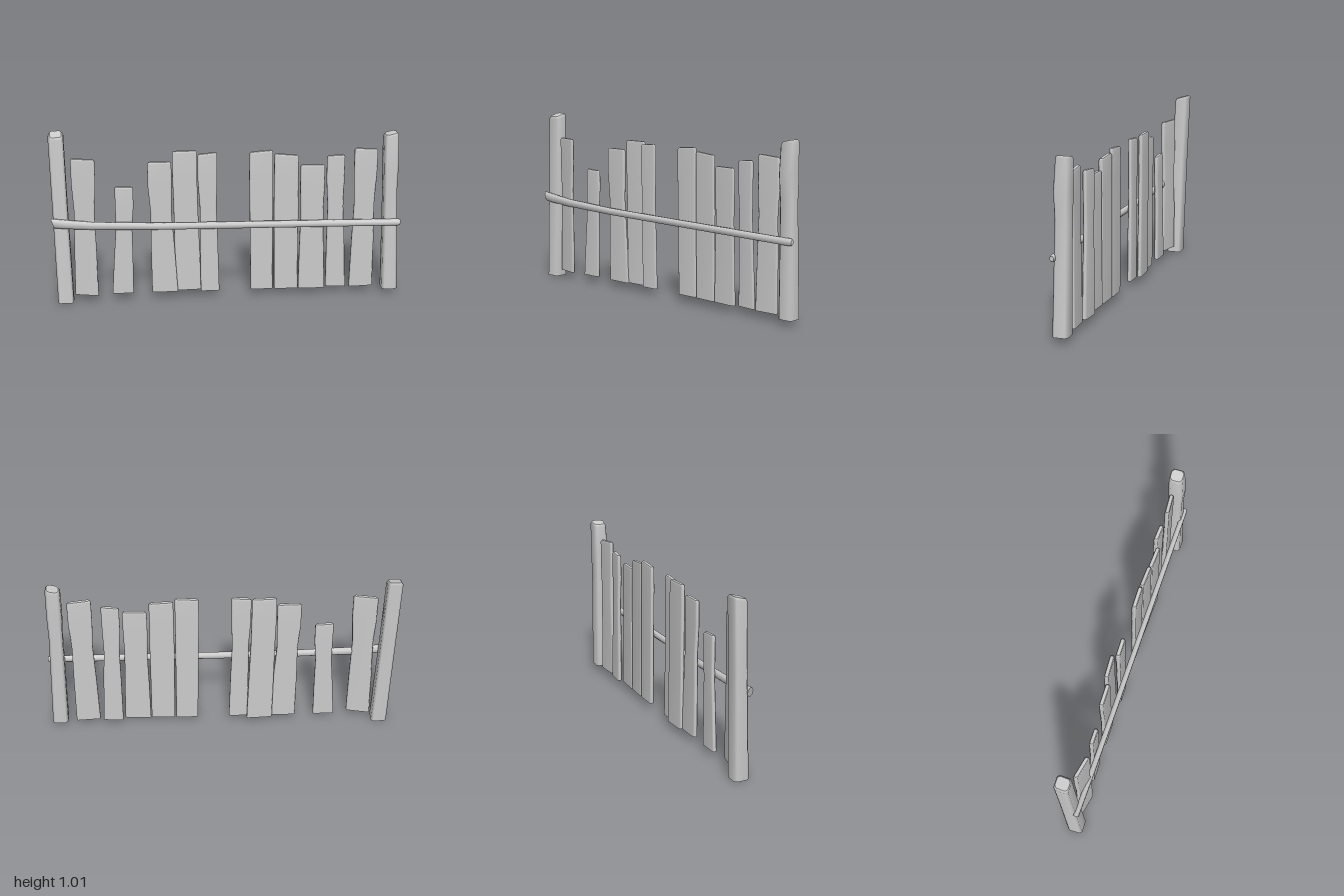
import * as THREE from 'three';

// Skin a stack of equal-length rings: smooth sides, crisp flat end caps
function loft(name, rings) {
  const n = rings[0].length, pos = rings.flat(2), idx = [];
  for (let i = 0; i < rings.length - 1; i++) {
    for (let j = 0; j < n; j++) {
      const a = i * n + j, b = i * n + (j + 1) % n;
      idx.push(a, a + n, b, b, a + n, b + n);
    }
  }
  const cap = ring => {
    const base = pos.length / 3;
    pos.push(...ring.flat());
    for (let j = 1; j < n - 1; j++) idx.push(base, base + j + 1, base + j);
  };
  cap([...rings[0]].reverse());
  cap(rings[rings.length - 1]);
  const geometry = new THREE.BufferGeometry();
  geometry.setAttribute('position', new THREE.Float32BufferAttribute(pos, 3));
  geometry.setIndex(idx);
  geometry.computeVertexNormals();
  const mesh = new THREE.Mesh(geometry, new THREE.MeshStandardMaterial({ color: 0xcccccc }));
  mesh.name = name;
  return mesh;
}

// Rectangle with chamfered corners
function chamferRect(x0, x1, z0, z1, c) {
  return [
    [x0 + c, z0], [x1 - c, z0], [x1, z0 + c], [x1, z1 - c],
    [x1 - c, z1], [x0 + c, z1], [x0, z1 - c], [x0, z0 + c],
  ];
}

// Upright timber from [y, x0, x1, z0, z1] sections, with a softened, sloping top
function timber(name, sections, { chamfer, bevel, tilt = 0, slopeX = 0, slopeZ = 0 }) {
  const [y, x0, x1, z0, z1] = sections[sections.length - 1];
  const all = [
    ...sections.slice(0, -1),
    [y - bevel, x0, x1, z0, z1],
    [y, x0 + bevel * 0.7, x1 - bevel * 0.7, z0 + bevel * 0.4, z1 - bevel * 0.4],
  ];
  return loft(name, all.map(([h, a, b, c, d], i) => {
    const slope = i >= all.length - 2 ? 1 : 0;
    const cx = (a + b) / 2, cz = (c + d) / 2;
    return chamferRect(a, b, c, d, chamfer).map(([x, z]) =>
      [x, h + slope * (slopeX * (x - cx) + slopeZ * (z - cz)), z + tilt * (x - cx)]);
  }));
}

// Plank whose edges drift from bottom to top, pinched in at the waist
function plank(name, [b0, b1, t0, t1, top, z, tilt, slopeX, pinch]) {
  const bottom = 0.042, half = 0.013;
  const sections = [0, 0.35, 0.62, 0.82, 1].map((v, i) => {
    const drift = Math.min(1, v / 0.82);
    const waist = pinch * (i === 2 ? 1 : i === 1 ? 0.4 : 0);
    return [
      THREE.MathUtils.lerp(bottom, top, v),
      THREE.MathUtils.lerp(b0, t0, drift) + waist,
      THREE.MathUtils.lerp(b1, t1, drift) - waist,
      z - half, z + half,
    ];
  });
  return timber(name, sections, { chamfer: 0.007, bevel: 0.01, tilt, slopeX });
}

export function createModel() {
  const group = new THREE.Group();
  group.name = 'fence';

  // End posts
  group.add(timber('rightPost', [
    [0, -0.98, -0.89, -0.047, 0.04],
    [0.6, -0.99, -0.905, -0.064, 0.015],
    [1.0, -0.997, -0.912, -0.078, 0.002],
  ], { chamfer: 0.012, bevel: 0.014, slopeZ: -0.28 }));
  group.add(timber('leftPost', [
    [0.035, 0.908, 0.998, -0.016, 0.07],
    [0.65, 0.898, 0.975, -0.021, 0.058],
    [0.8, 0.892, 0.976, -0.025, 0.064],
    [0.975, 0.892, 0.972, -0.027, 0.052],
  ], { chamfer: 0.014, bevel: 0.012, slopeX: 0.22 }));

  // Planks: bottom edges, top edges, height, depth, tilt, top slope, pinch
  [
    [-0.88, -0.745, -0.878, -0.743, 0.866, 0.012, 0.22, 0, 0.01],
    [-0.665, -0.543, -0.636, -0.532, 0.692, 0.003, 0, -0.05, 0.008],
    [-0.435, -0.285, -0.449, -0.314, 0.835, 0.003, 0, 0, 0.01],
    [-0.297, -0.148, -0.308, -0.168, 0.89, -0.016, -0.04, 0, 0.002],
    [-0.152, -0.044, -0.166, -0.055, 0.88, 0.008, 0, 0.09, 0.008],
    [0.14, 0.268, 0.128, 0.262, 0.885, 0.008, 0, 0.07, 0],
    [0.277, 0.414, 0.27, 0.407, 0.863, 0.012, 0.05, -0.08, -0.002],
    [0.418, 0.57, 0.42, 0.558, 0.8, 0.018, 0.06, 0, 0.006],
    [0.582, 0.698, 0.573, 0.674, 0.847, 0.002, 0.08, 0.06, 0.008],
    [0.718, 0.858, 0.727, 0.861, 0.886, 0.012, -0.06, -0.08, 0.009],
  ].forEach((row, i) => group.add(plank('plank' + (i + 1), row)));

  // Cross rail: octagonal rings, rising and thickening to a slanted right end
  const stations = [-0.99, -0.92, -0.77, -0.4, 0, 0.5, 0.985, 0.997];
  group.add(loft('rail', stations.map((x, i) => {
    const rise = Math.max(0, -x) ** 4;
    const taper = i === stations.length - 1 ? 0.7 : 1;
    const slant = i === 0 ? -0.35 : 0;
    return Array.from({ length: 8 }, (_, j) => {
      const a = (j + 0.5) * Math.PI / 4;
      const dy = Math.cos(a) * (0.021 + 0.009 * rise) * taper;
      return [
        x + slant * dy,
        0.459 - 0.006 * x + 0.03 * rise + dy,
        0.045 + 0.018 * x - Math.sin(a) * 0.016 * taper,
      ];
    });
  })));

  return group;
}
